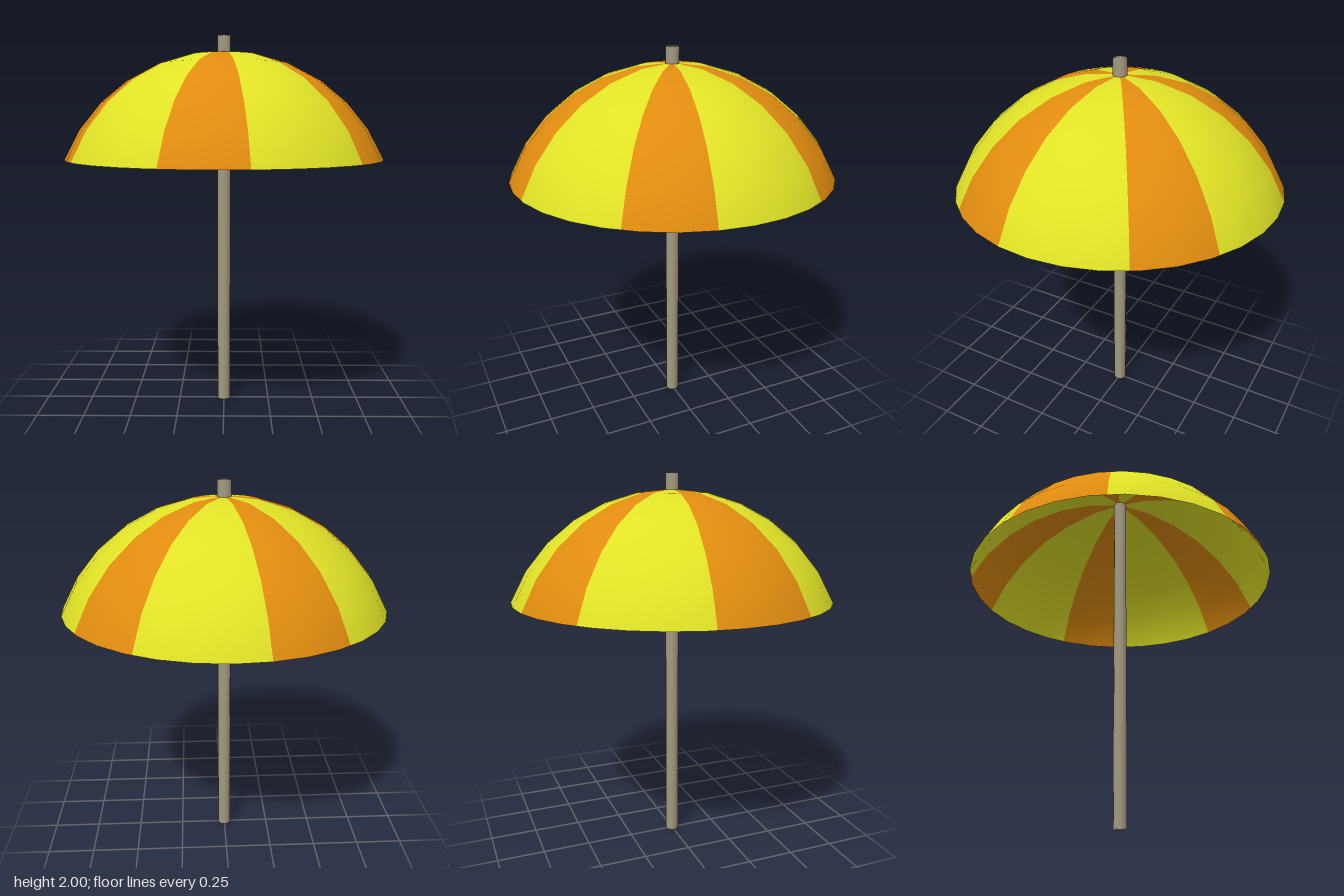
import * as THREE from 'three';
import { mergeVertices } from 'three/addons/utils/BufferGeometryUtils.js';

const SIDES = 32;
const STEP = 360 / SIDES; // degrees per canopy facet
const RINGS = 6; // facets from crown to rim
const RADIUS = 0.909; // radius of the sphere the canopy is cut from
const CROWN = 1.92;

// Point on the 32-sided sphere; angles between corners lie on the straight chord.
function canopyDirection(ring, angle) {
  const tilt = THREE.MathUtils.degToRad(ring * STEP);
  const corner = (k) => {
    const a = THREE.MathUtils.degToRad(k * STEP);
    return new THREE.Vector3(Math.sin(tilt) * Math.sin(a), Math.cos(tilt), Math.sin(tilt) * Math.cos(a));
  };
  const k = Math.floor(angle / STEP);
  return corner(k).lerp(corner(k + 1), angle / STEP - k);
}

// One coloured wedge of the canopy between two angles (degrees, from the front towards +x).
function wedgeGeometry(start, end) {
  const angles = [start];
  for (let k = Math.floor(start / STEP) + 1; k * STEP < end; k++) angles.push(k * STEP);
  angles.push(end);

  const positions = [], normals = [], index = [];
  const n = angles.length;
  for (let i = 0; i <= RINGS; i++) {
    for (const angle of angles) {
      const d = canopyDirection(i, angle);
      positions.push(d.x * RADIUS, CROWN + (d.y - 1) * RADIUS, d.z * RADIUS);
      d.normalize();
      normals.push(d.x, d.y, d.z);
    }
  }
  for (let i = 0; i < RINGS; i++) {
    for (let j = 0; j < n - 1; j++) {
      const a = i * n + j, b = a + n;
      index.push(a, b, b + 1);
      if (i > 0) index.push(a, b + 1, a + 1);
    }
  }
  const geometry = new THREE.BufferGeometry();
  geometry.setAttribute('position', new THREE.Float32BufferAttribute(positions, 3));
  geometry.setAttribute('normal', new THREE.Float32BufferAttribute(normals, 3));
  geometry.setIndex(index);
  return geometry;
}

export function createModel() {
  const yellow = new THREE.MeshStandardMaterial({ color: 0xe0e226, side: THREE.DoubleSide });
  yellow.name = 'yellow fabric';
  const orange = new THREE.MeshStandardMaterial({ color: 0xe08c0f, side: THREE.DoubleSide });
  orange.name = 'orange fabric';
  const wood = new THREE.MeshStandardMaterial({ color: 0xa39a80 });
  wood.name = 'pole grey';

  const model = new THREE.Group();
  model.name = 'parasol';

  // Canopy: alternating stripes, the fourth orange one slightly wider
  const canopy = new THREE.Group();
  canopy.name = 'canopy';
  const edges = [-19.6, 8.3, 50.5, 78.75, 121, 149.1, 191.25, 219.2, 261.8, 298.1, 340.4];
  for (let i = 0; i < edges.length - 1; i++) {
    const isOrange = i % 2 === 0;
    const stripe = new THREE.Mesh(wedgeGeometry(edges[i], edges[i + 1]), isOrange ? orange : yellow);
    stripe.name = isOrange ? 'orangeStripe' : 'yellowStripe';
    canopy.add(stripe);
  }
  model.add(canopy);

  // Pole: shared corners give softly shaded ends
  let poleGeometry = new THREE.CylinderGeometry(0.035, 0.035, 2, 12);
  poleGeometry.deleteAttribute('uv');
  poleGeometry.deleteAttribute('normal');
  poleGeometry = mergeVertices(poleGeometry);
  poleGeometry.computeVertexNormals();
  const pole = new THREE.Mesh(poleGeometry, wood);
  pole.name = 'pole';
  pole.position.y = 1;
  model.add(pole);

  return model;
}
